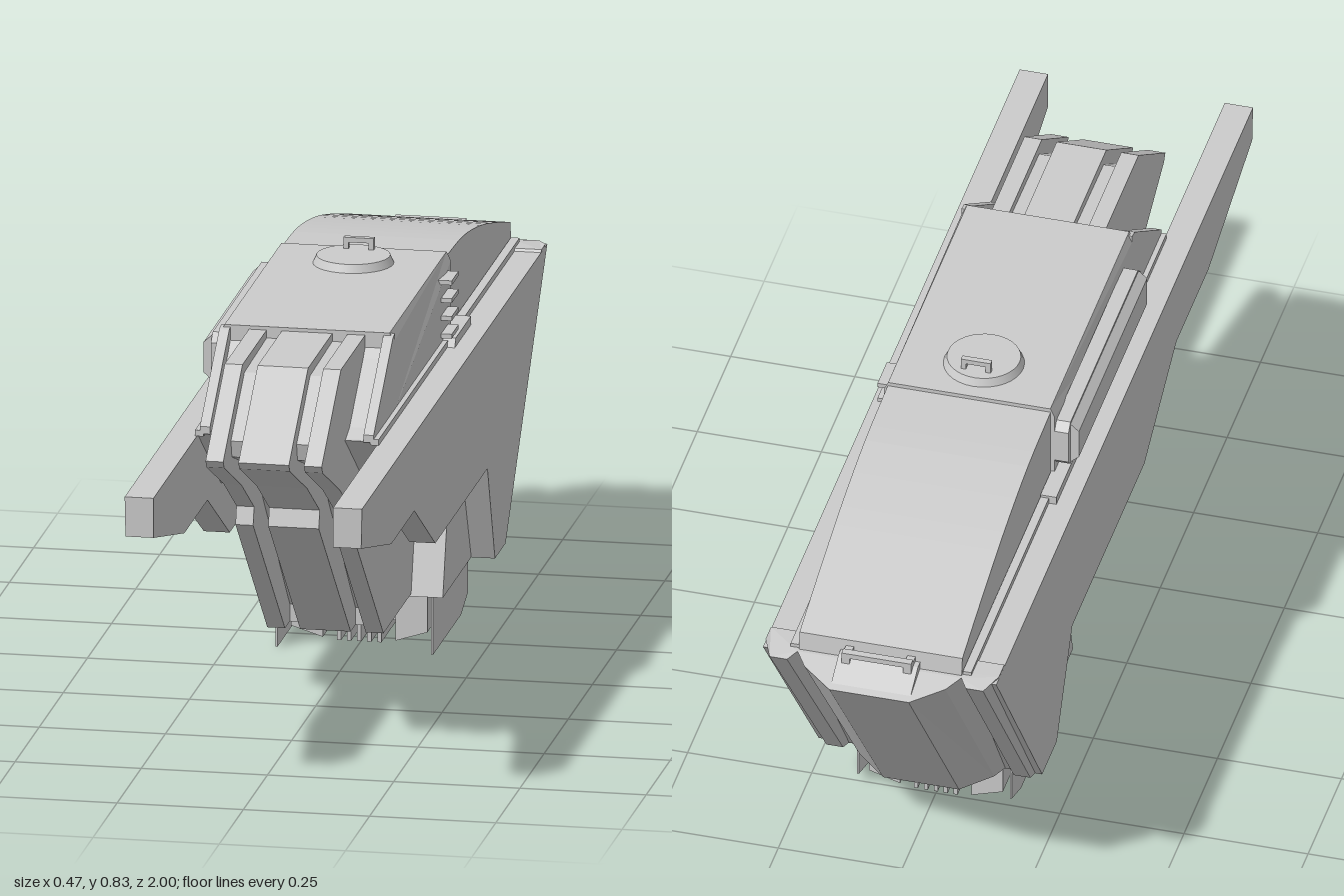
import * as THREE from 'three';

const material = new THREE.MeshStandardMaterial({ color: 0xcccccc, side: THREE.DoubleSide });

export function createModel() {
  const model = new THREE.Group();

  const add = (name, geometry) => {
    const mesh = new THREE.Mesh(geometry, material);
    mesh.name = name;
    model.add(mesh);
    return mesh;
  };
  const box = (name, x0, x1, y0, y1, z0, z1) => {
    const g = new THREE.BoxGeometry(x1 - x0, y1 - y0, z1 - z0);
    return add(name, g.translate((x0 + x1) / 2, (y0 + y1) / 2, (z0 + z1) / 2));
  };
  // Moves every vertex by a rule
  const reshape = (g, rule) => {
    const p = g.attributes.position;
    const v = new THREE.Vector3();
    for (let i = 0; i < p.count; i++) {
      v.fromBufferAttribute(p, i);
      rule(v);
      p.setXYZ(i, v.x, v.y, v.z);
    }
    g.computeVertexNormals();
    return g;
  };
  // Side profile of [z, y] points extruded between two x positions
  const slab = (name, profile, xa, xb) => {
    const shape = new THREE.Shape(profile.map(([z, y]) => new THREE.Vector2(z, y)));
    const g = new THREE.ExtrudeGeometry(shape, { depth: Math.abs(xb - xa), bevelEnabled: false });
    return add(name, g.rotateY(-Math.PI / 2).translate(Math.max(xa, xb), 0, 0));
  };

  // Central core with the slanted lower bulkhead
  slab('coreHull', [[0.55, 0.632], [0.3, 0.46], [-0.235, 0.46], [-0.135, 0.125],
    [-0.54, 0.125], [-0.91, 0.632]], -0.178, 0.178);

  // Nose and keel: a middle section and two outer ones, split by grooves
  const keel = [[0.34, 0.786], [0.59, 0.786], [0.79, 0.645], [0.78, 0.63], [0.6, 0.545],
    [0.47, 0.465], [0.48, 0.43], [0.15, 0.13], [-0.15, 0.13], [-0.3, 0.63]];
  const groove = [[0.34, 0.77], [0.57, 0.765], [0.71, 0.665], [0.7, 0.63], [0.55, 0.575],
    [0.42, 0.5], [0.1, 0.165], [0.1, 0.13], [-0.15, 0.13], [-0.3, 0.63]];
  slab('noseCentre', keel, -0.05, 0.05);

  for (const s of [1, -1]) {
    slab('noseGroove', groove, s * 0.05, s * 0.08);
    slab('noseSide', keel, s * 0.08, s * 0.115);

    // Side hull with forward prong, leaning in towards the bottom
    const side = slab('sideHull', [[1, 0.625], [1, 0.545], [0.68, 0.465], [0.44, 0.465],
      [0.21, 0.335], [-0.33, 0.335], [-0.43, 0.125], [-0.54, 0.125], [-0.92, 0.625]],
    s * 0.178, s * 0.235);
    reshape(side.geometry, (v) => {
      if (Math.abs(v.x) > 0.2) v.x = s * (0.225 + 0.02 * (v.y - 0.125));
    });

    // Cabin window pillar and recessed pane
    slab('windowPillar', [[0.33, 0.79], [0.35, 0.786], [0.55, 0.645], [0.55, 0.63], [0.33, 0.63]],
      s * 0.152, s * 0.172);
    slab('windowPane', [[0.33, 0.77], [0.36, 0.745], [0.5, 0.645], [0.54, 0.632], [0.33, 0.632]],
      s * 0.11, s * 0.152);

    // Deck edge beside the cabin and small step block
    slab('deckEdge', [[0.55, 0.625], [0.55, 0.637], [-0.91, 0.637], [-0.91, 0.62]],
      s * 0.165, s * 0.182);
    slab('deckStep', [[-0.16, 0.625], [-0.17, 0.642], [-0.33, 0.642], [-0.33, 0.625]],
      s * 0.165, s * 0.197);

    // Thin fin under the hull
    slab('bellyFin', [[-0.15, 0.13], [-0.15, 0.005], [-0.44, 0.005], [-0.51, 0.03], [-0.51, 0.13]],
      s * 0.152, s * 0.156);

    // Engine side block with a sloping underside
    const block = box('engineSide', Math.min(s * 0.072, s * 0.135), Math.max(s * 0.072, s * 0.135),
      0.035, 0.13, -0.5, -0.2);
    reshape(block.geometry, (v) => {
      if (v.y < 0.1 && Math.abs(v.x) < 0.1) v.y = 0.015;
    });
  }

  // Cabin roof with a narrow bevel along its upper edges
  const cabin = slab('cabin', [[0.34, 0.63], [0.34, 0.775], [0.34, 0.793], [-0.25, 0.793],
    [-0.25, 0.775], [-0.25, 0.63]], -0.172, 0.172);
  reshape(cabin.geometry, (v) => {
    if (v.y > 0.785) v.x *= 0.95;
  });

  // Curved rear cover
  const curve = new THREE.CatmullRomCurve3([[-0.25, 0.785], [-0.42, 0.777], [-0.6, 0.748],
    [-0.78, 0.704], [-0.91, 0.668]].map(([z, y]) => new THREE.Vector3(z, y, 0)));
  const arc = curve.getPoints(16).map((p) => [p.x, p.y]);
  slab('rearCover', [[-0.25, 0.63], ...arc, [-0.915, 0.63]], -0.164, 0.164);

  // Slanted tail: ridged plan outline swept down and forwards
  const half = [[0.235, -0.9], [0.215, -0.945], [0.18, -0.945], [0.165, -0.922],
    [0.142, -0.955], [0.08, -1]];
  const outline = [[0.235, -0.86], ...half, ...half.map(([x, z]) => [-x, z]).reverse(), [-0.235, -0.86]];
  const tailShape = new THREE.Shape(outline.map(([x, z]) => new THREE.Vector2(x, -z)));
  const tail = new THREE.ExtrudeGeometry(tailShape, { depth: 0.5, bevelEnabled: false });
  tail.rotateX(-Math.PI / 2);
  add('tail', reshape(tail, (v) => {
    const drop = 0.5 - v.y;
    v.x *= 1 - 0.09 * drop;
    v.y += 0.13 + 0.25 * Math.min(0, v.z + 0.92);
    v.z += 0.78 * drop;
  }));

  // Tail latch: sloping base, two posts and a bar
  slab('latchBase', [[-0.9, 0.62], [-0.9, 0.645], [-0.93, 0.645], [-0.985, 0.615]], -0.08, 0.08);
  box('latchBar', -0.07, 0.07, 0.65, 0.661, -0.945, -0.93);
  for (const s of [1, -1]) box('latchPost', s * 0.062 - 0.008, s * 0.062 + 0.008, 0.63, 0.655, -0.945, -0.91);

  // Engine core and cooling vanes
  box('engineCore', -0.075, 0.075, 0.045, 0.13, -0.47, -0.24);
  for (let i = -2; i <= 2; i++) box('engineVane', i * 0.02 - 0.004, i * 0.02 + 0.004, 0.01, 0.13, -0.5, -0.2);

  // Roof hatch with handle
  add('hatch', new THREE.CylinderGeometry(0.072, 0.08, 0.018, 32).translate(0, 0.8, -0.14));
  box('hatchHandle', -0.027, 0.033, 0.822, 0.832, -0.19, -0.178);
  for (const x of [-0.022, 0.028]) box('handlePost', x - 0.005, x + 0.005, 0.805, 0.825, -0.19, -0.178);

  // Bevelled storage pod on the right side
  const pod = slab('sidePod', [[0.29, 0.67], [0.29, 0.74], [0.27, 0.757], [-0.235, 0.757],
    [-0.25, 0.74], [-0.25, 0.67], [-0.235, 0.655], [0.27, 0.655]], -0.2, -0.17);
  pod.geometry.computeBoundingBox();
  const cap = slab('podCap', [[0.275, 0.675], [0.275, 0.737], [-0.235, 0.737], [-0.235, 0.675]], -0.217, -0.2);
  reshape(cap.geometry, (v) => {
    if (v.x > -0.21) v.y += v.y > 0.7 ? 0.015 : -0.015;
  });

  // Cooling ribs on the left side
  for (let i = 0; i < 4; i++) box('sideRib', 0.165, 0.193, 0.646 + i * 0.036, 0.655 + i * 0.036, -0.22, -0.15);

  return model;
}
